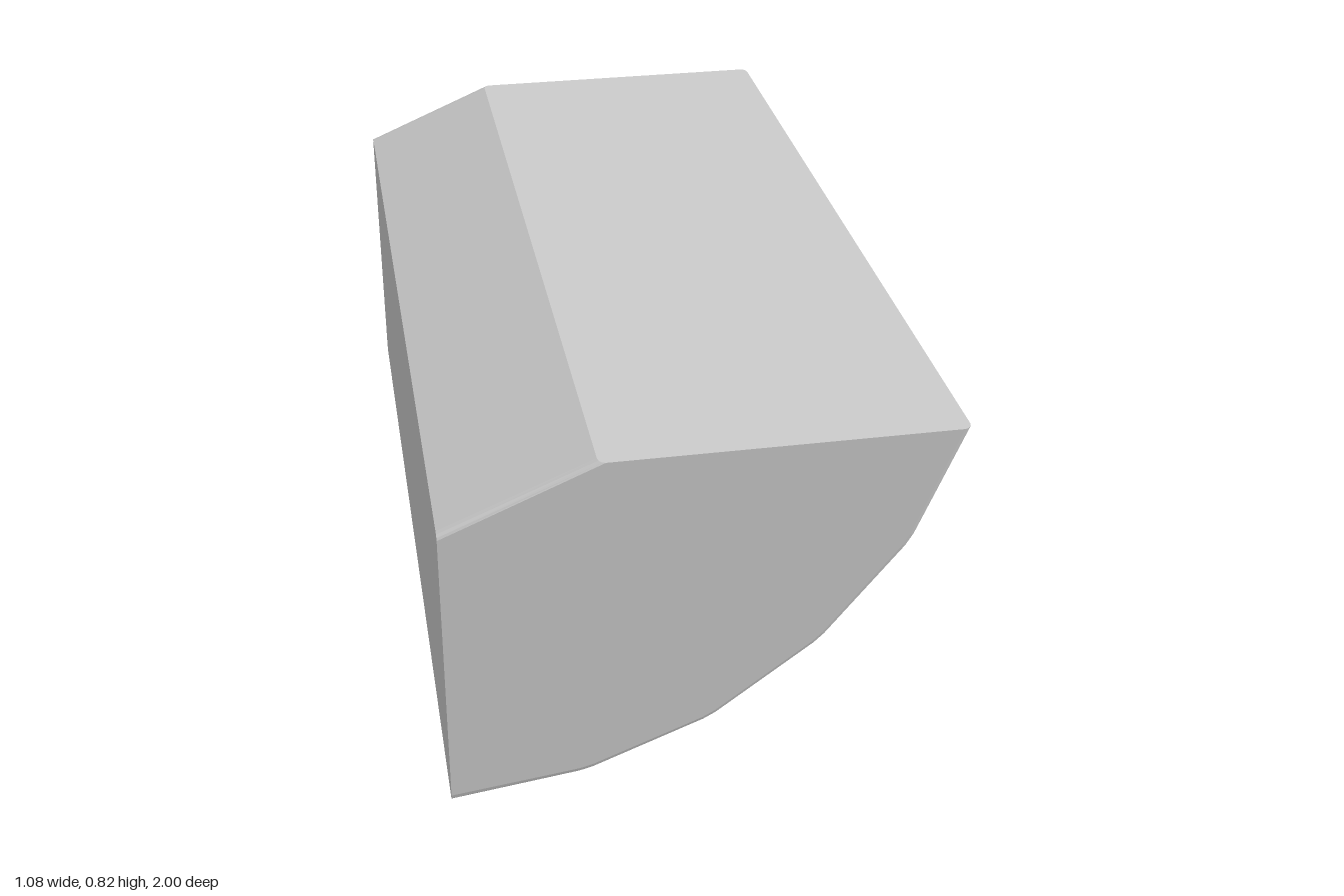
import * as THREE from 'three';

// Counter-clockwise cross-section: faceted underside, flat top, sloped shoulder, flat wall
const outer = [[-0.54, 0], [-0.25, 0.039], [0.02, 0.149], [0.252, 0.327], [0.432, 0.556],
  [0.537, 0.82], [-0.22, 0.82], [-0.54, 0.686]];
// The same section pulled in at the two ends; top and wall stay flush
const inner = [[-0.54, 0.02], [-0.25, 0.056], [0.014, 0.162], [0.243, 0.337], [0.42, 0.564],
  [0.52, 0.82], [-0.205, 0.82], [-0.54, 0.676]];

// Chamfer the ridges between the underside facets
function soften(points) {
  const step = (a, b) => {
    const d = 0.015 / Math.hypot(b[0] - a[0], b[1] - a[1]);
    return [a[0] + (b[0] - a[0]) * d, a[1] + (b[1] - a[1]) * d];
  };
  return points.flatMap((p, i) => (i >= 1 && i <= 4)
    ? [step(p, points[i - 1]), step(p, points[i + 1])] : [p]);
}

function blockGeometry() {
  const a = soften(outer), b = soften(inner), n = a.length;

  // Quarter-round edge at each end: [z, amount of inset]
  const front = [0, 1, 2, 3].map((i) => {
    const t = (i / 3) * Math.PI / 2;
    return [0.98 + 0.02 * Math.sin(t), 1 - Math.cos(t)];
  });
  const rings = [...front.map(([z, t]) => [-z, t]).reverse(), ...front];

  const positions = [], index = [];
  for (const [z, t] of rings) {
    for (let i = 0; i < n; i++) {
      positions.push(a[i][0] + (b[i][0] - a[i][0]) * t, a[i][1] + (b[i][1] - a[i][1]) * t, z);
    }
  }
  // Sides
  for (let r = 0; r < rings.length - 1; r++) {
    for (let i = 0; i < n; i++) {
      const p = r * n + i, q = r * n + (i + 1) % n;
      index.push(p, q, q + n, p, q + n, p + n);
    }
  }
  // End caps
  const last = (rings.length - 1) * n;
  for (let i = 1; i < n - 1; i++) {
    index.push(0, i + 1, i, last, last + i, last + i + 1);
  }
  const geometry = new THREE.BufferGeometry();
  geometry.setAttribute('position', new THREE.Float32BufferAttribute(positions, 3));
  geometry.setIndex(index);
  const flat = geometry.toNonIndexed();
  flat.computeVertexNormals();
  return flat;
}

export function createModel() {
  const group = new THREE.Group();
  group.name = 'curvedBlock';
  const block = new THREE.Mesh(blockGeometry(),
    new THREE.MeshStandardMaterial({ color: 0xcccccc, flatShading: true }));
  block.name = 'block';
  group.add(block);
  return group;
}
